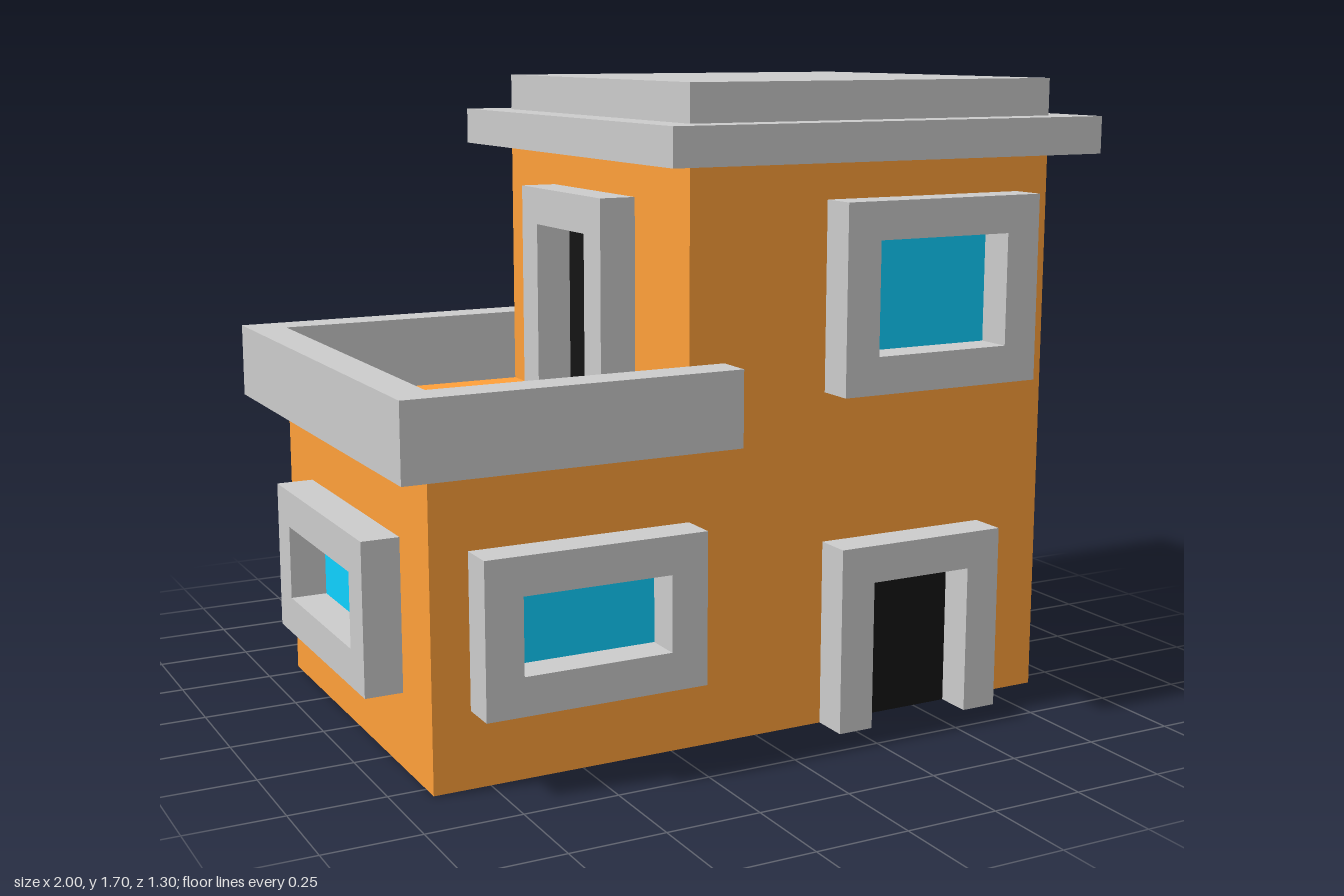
import * as THREE from 'three';

const mat = (color) => new THREE.MeshStandardMaterial({ color });
const grey = mat(0xcccccc);
const wall = mat(0xffa03a);
const glass = mat(0x0fd1ff);
const dark = mat(0x141414);

const polygon = (points) => new THREE.Shape(points.map(([x, y]) => new THREE.Vector2(x, y)));
const extrude = (shape, depth) => new THREE.ExtrudeGeometry(shape, { depth, bevelEnabled: false });

function addMesh(parent, name, geometry, material) {
  const mesh = new THREE.Mesh(geometry, material);
  mesh.name = name;
  parent.add(mesh);
  return mesh;
}

// Slab given by its x range, y range and half depth
function addSlab(parent, name, x0, x1, y0, y1, halfZ) {
  const geometry = new THREE.BoxGeometry(x1 - x0, y1 - y0, halfZ * 2);
  geometry.translate((x0 + x1) / 2, (y0 + y1) / 2, 0);
  return addMesh(parent, name, geometry, grey);
}

const BORDER = 0.1;
const DEPTH = 0.1;

// Projecting frame with a flat panel on the wall behind it; base sits at y = 0.
// A door's frame is open at the bottom, a window's goes all the way round.
function createOpening(name, width, height, isDoor) {
  const group = new THREE.Group();
  group.name = name;
  const w = width / 2;
  const i = w - BORDER;
  const top = height - BORDER;
  const sill = isDoor ? 0 : BORDER;
  let shape;
  if (isDoor) {
    shape = polygon([[-w, 0], [-i, 0], [-i, top], [i, top], [i, 0], [w, 0], [w, height], [-w, height]]);
  } else {
    shape = polygon([[-w, 0], [w, 0], [w, height], [-w, height]]);
    shape.holes.push(polygon([[-i, sill], [-i, top], [i, top], [i, sill]]));
  }
  addMesh(group, name + 'Frame', extrude(shape, DEPTH), grey);
  const panel = new THREE.PlaneGeometry(i * 2, top - sill);
  panel.translate(0, (top + sill) / 2, 0.002);
  addMesh(group, name + 'Panel', panel, isDoor ? dark : glass);
  return group;
}

export function createModel() {
  const house = new THREE.Group();
  house.name = 'house';

  // Stepped body: full-width ground floor, narrower upper floor
  const body = extrude(polygon([[-0.9, 0], [0.9, 0], [0.9, 1.5], [-0.2, 1.5], [-0.2, 0.8], [-0.9, 0.8]]), 1.1);
  body.translate(0, 0, -0.55);
  addMesh(house, 'walls', body, wall);

  // Two-step roof
  addSlab(house, 'roofEaves', -0.3, 1, 1.5, 1.6, 0.65);
  addSlab(house, 'roofTop', -0.2, 0.9, 1.6, 1.7, 0.55);

  // U-shaped parapet around the terrace
  const parapet = extrude(polygon([
    [-0.1, -0.65], [-0.1, -0.55], [-0.9, -0.55], [-0.9, 0.55],
    [-0.1, 0.55], [-0.1, 0.65], [-1, 0.65], [-1, -0.65],
  ]), 0.2);
  parapet.rotateX(-Math.PI / 2).translate(0, 0.8, 0);
  addMesh(house, 'terraceParapet', parapet, grey);

  // Windows and doors: name, width, height, door?, position, turn
  const quarter = Math.PI / 2;
  const openings = [
    ['frontLowerWindow', 0.6, 0.4, false, [-0.5, 0.2, 0.55], 0],
    ['frontUpperWindow', 0.6, 0.5, false, [0.5, 0.9, 0.55], 0],
    ['frontDoor', 0.5, 0.5, true, [0.45, 0, 0.55], 0],
    ['leftLowerWindow', 0.7, 0.4, false, [0.9, 0.2, 0], quarter],
    ['leftUpperWindow', 0.7, 0.5, false, [0.9, 0.9, 0], quarter],
    ['rightLowerWindow', 0.7, 0.4, false, [-0.9, 0.2, 0], -quarter],
    ['terraceDoor', 0.5, 0.6, true, [-0.2, 0.8, 0], -quarter],
  ];
  for (const [name, width, height, isDoor, position, turn] of openings) {
    const opening = createOpening(name, width, height, isDoor);
    opening.position.set(...position);
    opening.rotation.y = turn;
    house.add(opening);
  }

  return house;
}
